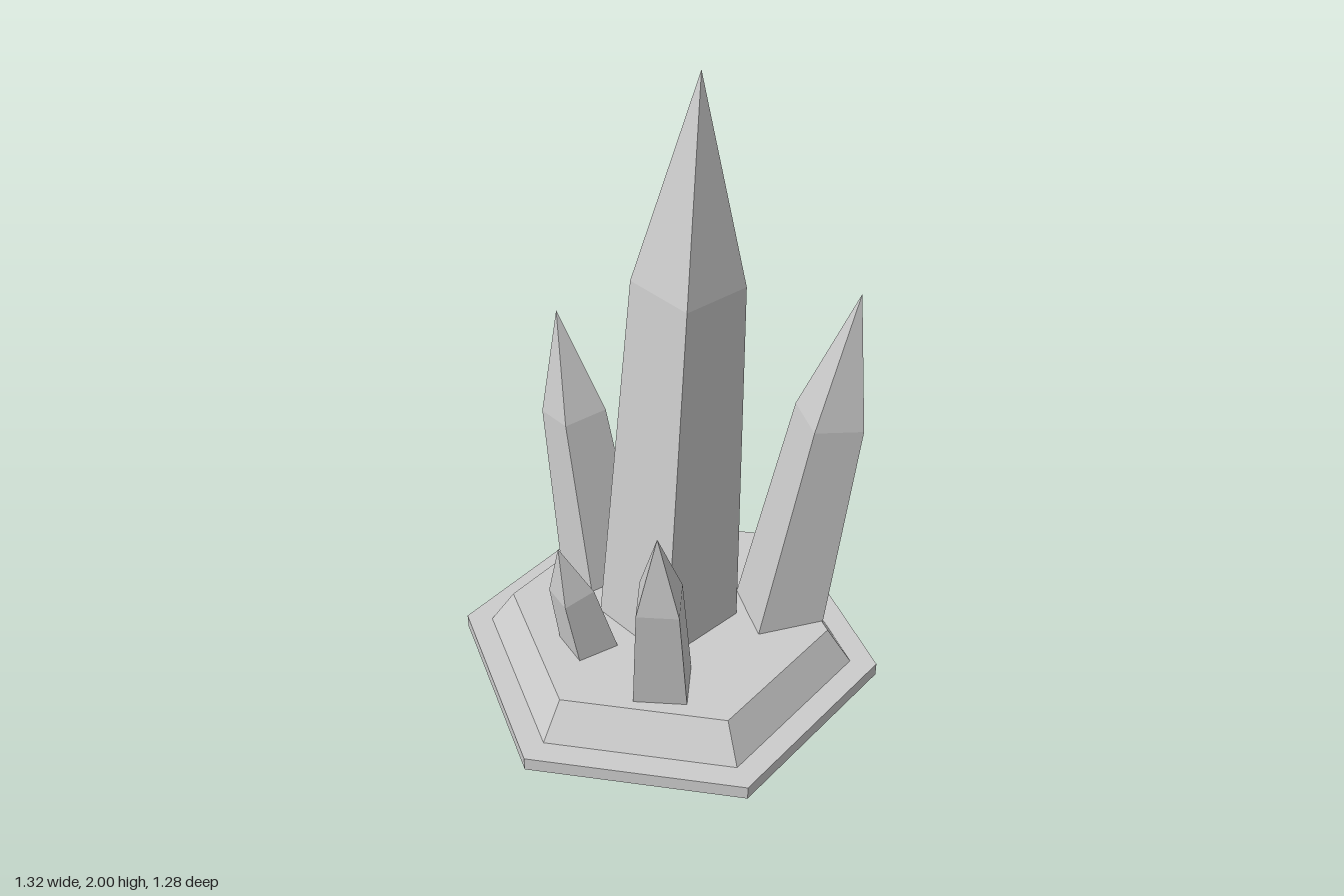
import * as THREE from 'three';

export function createModel() {
  const model = new THREE.Group();
  const stone = new THREE.MeshStandardMaterial({ color: 0xcccccc, flatShading: true });
  stone.name = 'paleGreyStone';

  // Faceted solid from a [radius, height] profile, bottom to top
  function faceted(name, profile, sides, degrees) {
    const points = profile.map(([r, y]) => new THREE.Vector2(r, y));
    const geometry = new THREE.LatheGeometry(points, sides, THREE.MathUtils.degToRad(degrees));
    const mesh = new THREE.Mesh(geometry, stone);
    mesh.name = name;
    model.add(mesh);
    return mesh;
  }

  // Hexagonal base: thin plinth and sloped step
  faceted('plinth', [[0, 0], [0.672, 0], [0.672, 0.045], [0, 0.045]], 6, 41.7);
  faceted('slopedStep', [[0, 0.045], [0.588, 0.045], [0.51, 0.165], [0, 0.165]], 6, 41.7);

  // Four-sided crystals, leaning from foot to tip; shoulder is a fraction of the length
  const up = new THREE.Vector3(0, 1, 0);
  function crystal({ name, foot, tip, footRadius, shoulderRadius, shoulder, turn }) {
    const start = new THREE.Vector3(...foot);
    const axis = new THREE.Vector3(...tip).sub(start);
    const length = axis.length();
    const mesh = faceted(name, [
      [0, 0], [footRadius, 0], [shoulderRadius, shoulder * length], [0, length],
    ], 4, turn);
    mesh.position.copy(start);
    mesh.quaternion.setFromUnitVectors(up, axis.normalize());
  }

  [
    { name: 'mainCrystal', foot: [0, 0.15, 0], tip: [0.07, 2, -0.055],
      footRadius: 0.218, shoulderRadius: 0.163, shoulder: 0.658, turn: 19.5 },
    { name: 'backLeftCrystal', foot: [0.32, 0.147, -0.155], tip: [0.49, 1.31, -0.255],
      footRadius: 0.152, shoulderRadius: 0.113, shoulder: 0.64, turn: -7 },
    { name: 'backRightCrystal', foot: [-0.29, 0.15, -0.135], tip: [-0.44, 1.09, -0.185],
      footRadius: 0.139, shoulderRadius: 0.104, shoulder: 0.633, turn: 10.5 },
    { name: 'frontCrystal', foot: [0.1, 0.15, 0.305], tip: [0.14, 0.84, 0.44],
      footRadius: 0.117, shoulderRadius: 0.088, shoulder: 0.61, turn: 62 },
    { name: 'smallCrystal', foot: [-0.182, 0.15, 0.215], tip: [-0.235, 0.58, 0.295],
      footRadius: 0.094, shoulderRadius: 0.072, shoulder: 0.58, turn: 8 },
  ].forEach(crystal);

  return model;
}
